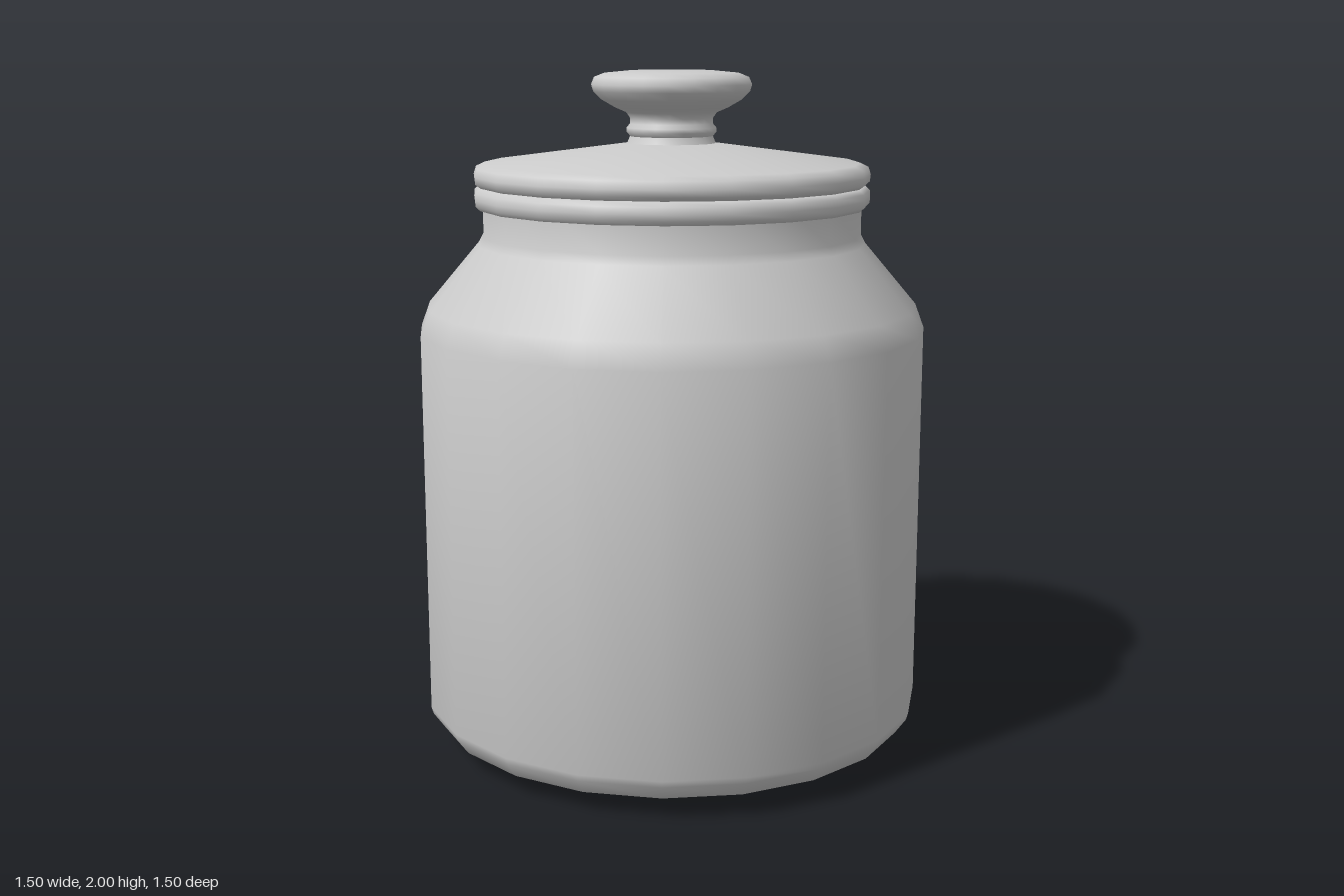
import * as THREE from 'three';
import { toCreasedNormals } from 'three/addons/utils/BufferGeometryUtils.js';

const SIDES = 20;
const material = new THREE.MeshStandardMaterial({ color: 0xcccccc });

// Turned part from [radius, height] pairs, listed bottom to top along the outside
function turned(name, profile) {
  const points = profile.map(([r, y]) => new THREE.Vector2(r, y));
  const geometry = toCreasedNormals(new THREE.LatheGeometry(points, SIDES), 0.9);
  const mesh = new THREE.Mesh(geometry, material);
  mesh.name = name;
  return mesh;
}

export function createModel() {
  const model = new THREE.Group();
  model.name = 'lidded jar';

  // Hollow body: chamfered foot, straight wall, sloping shoulder, neck, then the inside
  model.add(turned('jarBody', [
    [0, 0], [0.57, 0], [0.6, 0.012], [0.71, 0.06], [0.742, 0.105], [0.748, 0.125],
    [0.748, 1.25], [0.722, 1.32], [0.57, 1.5], [0.557, 1.525], [0.557, 1.64],
    [0.5, 1.64], [0.5, 1.52], [0.68, 1.29], [0.69, 0.12], [0.56, 0.06], [0, 0.06],
  ]));

  // Rounded sealing ring around the neck
  model.add(turned('sealRing', [
    [0.5, 1.605], [0.567, 1.605], [0.58, 1.617], [0.582, 1.635], [0.58, 1.655],
    [0.567, 1.667], [0.5, 1.667], [0.5, 1.605],
  ]));

  const lid = new THREE.Group();
  lid.name = 'lid';

  // Lid: plug inside the neck, rounded rim, shallow cone
  lid.add(turned('lidDisc', [
    [0, 1.6], [0.49, 1.6], [0.49, 1.669], [0.565, 1.669], [0.58, 1.68], [0.582, 1.7],
    [0.575, 1.722], [0.55, 1.734], [0.13, 1.79], [0, 1.79],
  ]));

  // Knob: ridged neck flaring to a flattened cap
  lid.add(turned('knob', [
    [0.135, 1.78], [0.127, 1.795], [0.121, 1.81], [0.131, 1.822], [0.131, 1.834],
    [0.121, 1.846], [0.121, 1.862], [0.132, 1.878], [0.165, 1.892], [0.205, 1.915],
    [0.228, 1.938], [0.234, 1.958], [0.225, 1.979], [0.195, 1.991], [0.12, 1.998], [0, 2],
  ]));

  model.add(lid);
  return model;
}
